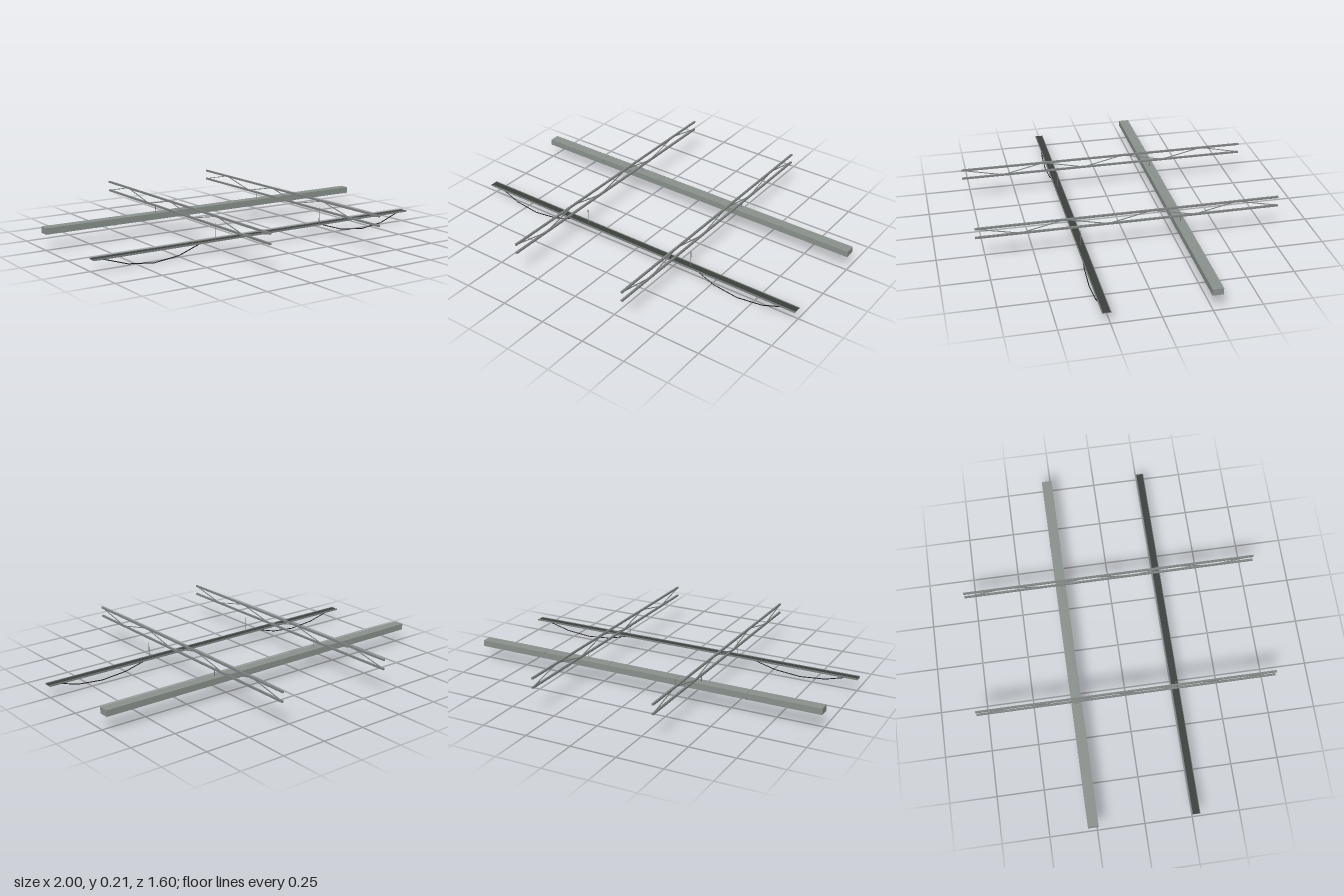
import * as THREE from 'three';

const mat = (name, color) => {
  const m = new THREE.MeshStandardMaterial({ color });
  m.name = name;
  return m;
};

export function createModel() {
  const steel = mat('truss steel', 0x7f8483);
  const ductMetal = mat('duct metal', 0x8a918c);
  const trayMetal = mat('tray metal', 0x7c827f);
  const wireDark = mat('tray wiring', 0x3b403d);
  const cableBlack = mat('cable black', 0x1c1d1e);

  const model = new THREE.Group();
  model.name = 'ceilingServices';

  const box = (parent, name, m, size, pos) => {
    const mesh = new THREE.Mesh(new THREE.BoxGeometry(...size), m);
    mesh.name = name;
    mesh.position.set(...pos);
    parent.add(mesh);
    return mesh;
  };

  // Straight round rod between two points
  const rod = (parent, name, m, a, b, r, sides = 6) => {
    const from = new THREE.Vector3(...a);
    const dir = new THREE.Vector3(...b).sub(from);
    const mesh = new THREE.Mesh(new THREE.CylinderGeometry(r, r, dir.length(), sides), m);
    mesh.name = name;
    mesh.position.copy(from).addScaledVector(dir, 0.5);
    mesh.quaternion.setFromUnitVectors(new THREE.Vector3(0, 1, 0), dir.normalize());
    parent.add(mesh);
  };

  const topY = 0.206, bottomY = 0.156, panels = 7, half = 0.8;

  for (const side of [-1, 1]) {
    const x = side * 0.337;

    // Roof truss: two chords with zigzag web
    const truss = new THREE.Group();
    truss.name = side < 0 ? 'rightTruss' : 'leftTruss';
    box(truss, 'topChord', steel, [0.01, 0.01, 2 * half], [x, topY, 0]);
    box(truss, 'bottomChord', steel, [0.01, 0.01, 2 * half], [x, bottomY, 0]);
    for (let i = 0; i < panels; i++) {
      const z0 = half - (i * 2 * half) / panels;
      const z1 = half - ((i + 1) * 2 * half) / panels;
      const [y0, y1] = i % 2 ? [bottomY, topY] : [topY, bottomY];
      const web = box(truss, 'webBar', steel, [0.004, 0.004, Math.hypot(z1 - z0, y1 - y0)],
        [x, (y0 + y1) / 2, (z0 + z1) / 2]);
      web.rotation.x = Math.atan2(y1 - y0, z0 - z1);
    }
    model.add(truss);

    // Hanger rods for duct and tray
    rod(model, 'ductHanger', steel, [x, 0.116, -0.268], [x, 0.153, -0.268], 0.0016);
    rod(model, 'trayHanger', steel, [x + 0.0375, 0.062, 0.27], [x + 0.0375, 0.153, 0.27], 0.0016);

    // Sagging cable below the tray
    const cable = new THREE.Group();
    cable.name = 'saggingCable';
    const sag = [0, 0.75, 1, 0.75, 0].map((s, i) =>
      [side * 0.667 + (i - 2) * 0.1445, 0.062 - 0.0595 * s, 0.268 + 0.017 * s]);
    for (let i = 0; i < 4; i++) rod(cable, 'cableSegment', cableBlack, sag[i], sag[i + 1], 0.0025);
    model.add(cable);
  }

  // Rectangular air duct with joint flanges
  box(model, 'airDuct', ductMetal, [2, 0.034, 0.056], [0, 0.1015, -0.27]);
  for (const x of [-0.6, -0.2, 0.2, 0.6])
    box(model, 'ductFlange', ductMetal, [0.005, 0.036, 0.058], [x, 0.1015, -0.27]);

  // Cable tray with raised lips and a dark wiring layer
  box(model, 'trayBase', trayMetal, [2, 0.003, 0.042], [0, 0.0625, 0.268]);
  box(model, 'trayWiring', wireDark, [1.998, 0.002, 0.036], [0, 0.065, 0.268]);
  for (const z of [0.248, 0.288])
    box(model, 'trayLip', trayMetal, [2, 0.009, 0.003], [0, 0.0645, z]);

  return model;
}
